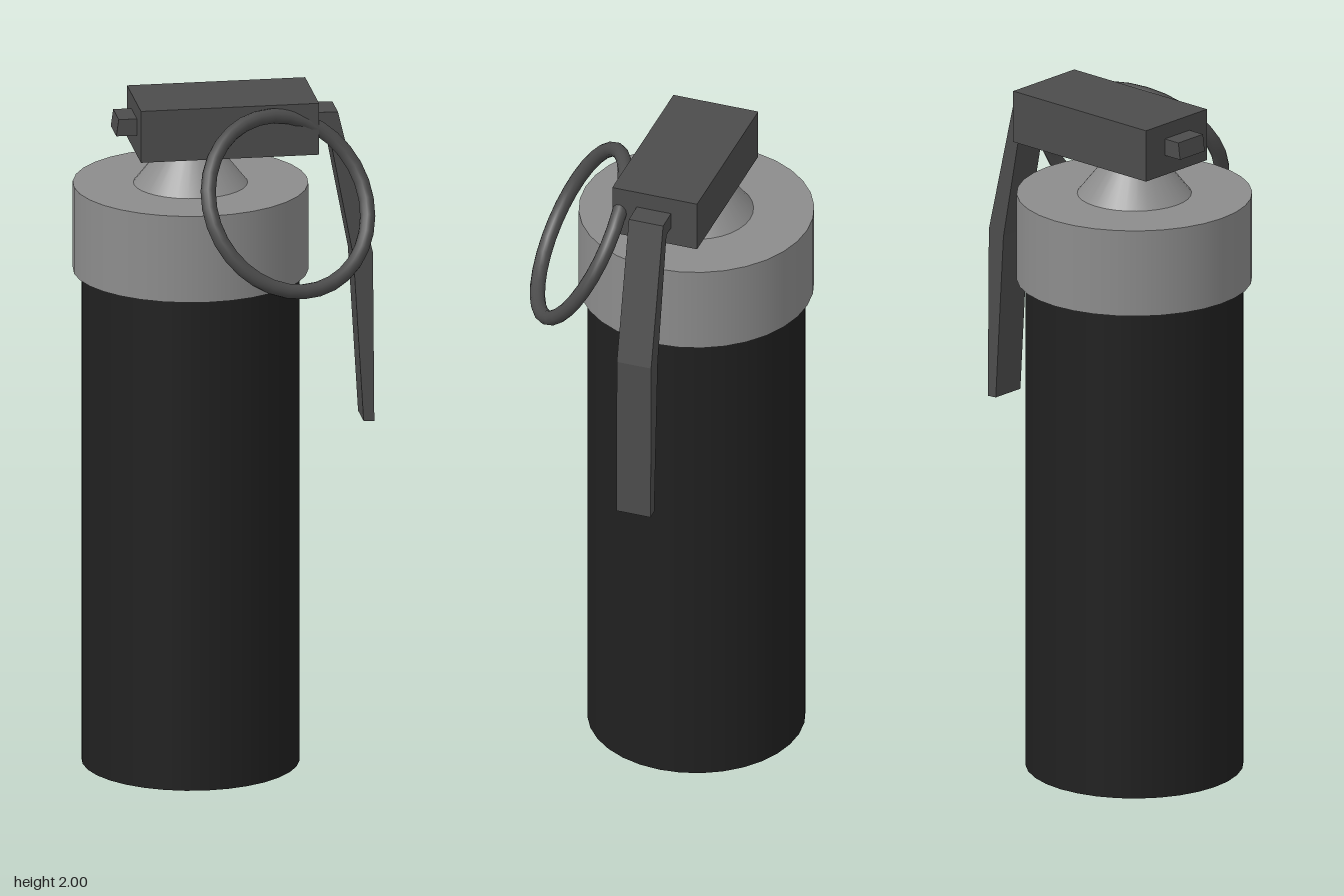
import * as THREE from 'three';

const CX = -0.095, CZ = -0.055; // axis of the canister

const paint = (color) => new THREE.MeshStandardMaterial({ color });

export function createModel() {
  const group = new THREE.Group();
  const black = paint(0x202020), grey = paint(0x8c8c8c), dark = paint(0x4c4c4c);

  const add = (name, geometry, material, x, y, z) => {
    const mesh = new THREE.Mesh(geometry, material);
    mesh.name = name;
    mesh.position.set(x, y, z);
    group.add(mesh);
    return mesh;
  };

  // Upright round part between two heights
  const round = (name, rTop, rBottom, y0, y1, material) =>
    add(name, new THREE.CylinderGeometry(rTop, rBottom, y1 - y0, 32), material, CX, (y0 + y1) / 2, CZ);

  // Side profile in x and y, extruded across z
  const strip = (name, points) => {
    const shape = new THREE.Shape(points.map(([x, y]) => new THREE.Vector2(x, y)));
    const geometry = new THREE.ExtrudeGeometry(shape, { depth: 0.105, bevelEnabled: false });
    return add(name, geometry, dark, 0, 0, -0.105);
  };

  // Canister, collar and tapered neck
  round('canister', 0.315, 0.315, 0, 1.48, black);
  round('collar', 0.34, 0.34, 1.48, 1.74, grey);
  round('neck', 0.078, 0.165, 1.74, 1.85, grey);

  // Block holding the lever
  add('fuseHead', new THREE.BoxGeometry(0.52, 0.155, 0.26), dark, 0, 1.9225, -0.055);

  // Short tab on one side, bent lever on the other
  strip('rearTab', [[-0.25, 1.905], [-0.25, 1.955], [-0.313, 1.955], [-0.32, 1.905]]);
  strip('safetyLever', [
    [0.25, 1.9], [0.298, 1.9], [0.372, 1.51], [0.402, 1.012],
    [0.433, 1.01], [0.429, 1.52], [0.327, 1.948], [0.25, 1.95],
  ]);

  // Tilted pull ring
  const ring = add('pullRing', new THREE.TorusGeometry(0.262, 0.022, 12, 32), dark, 0.148, 1.743, 0.21);
  ring.quaternion.setFromUnitVectors(
    new THREE.Vector3(0, 0, 1), new THREE.Vector3(0.36, 0.48, 0.8).normalize());

  return group;
}
